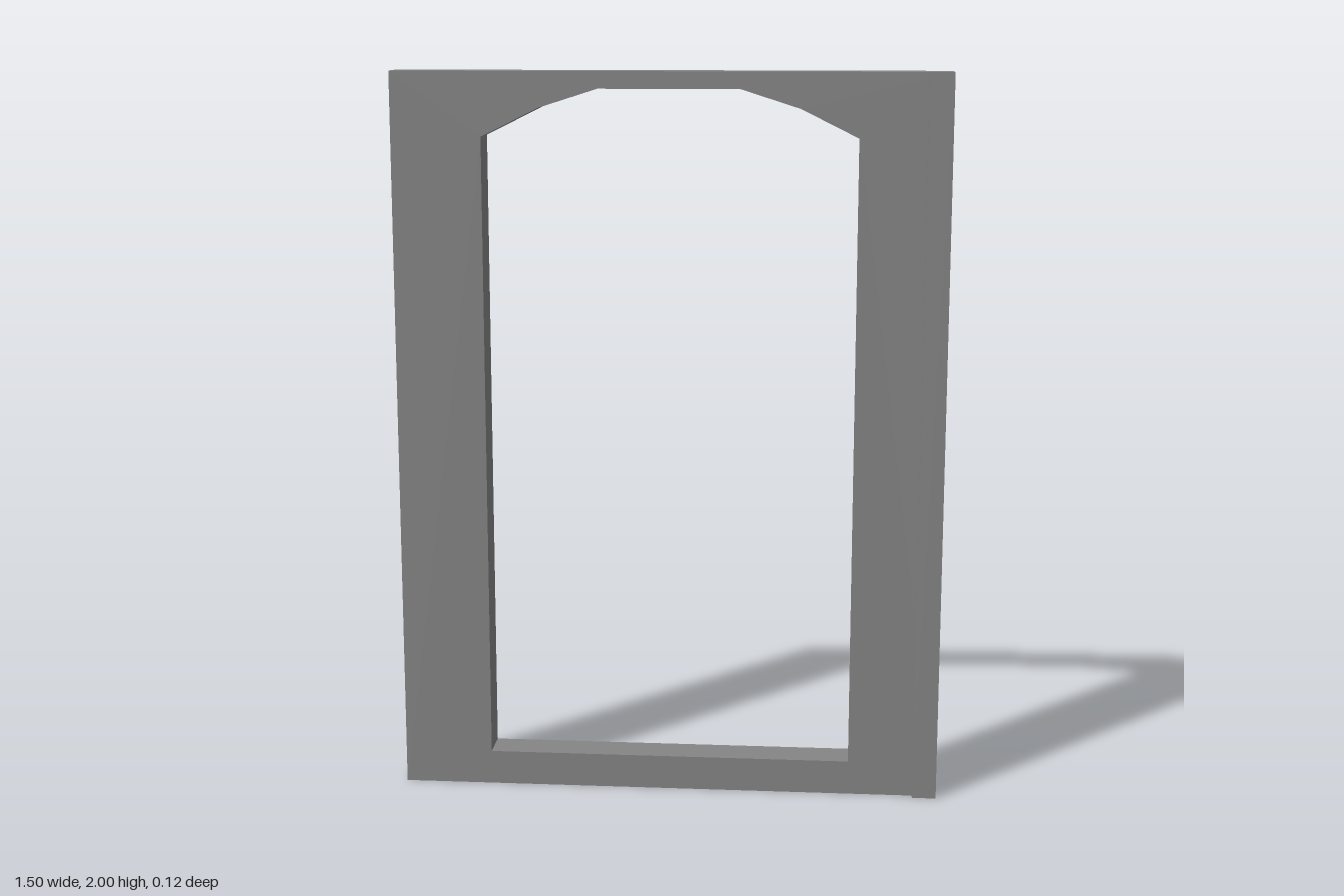
import * as THREE from 'three';

const W = 0.75, H = 2, BACK = -0.06, FACE = 0.043, FRONT = 0.06;
const STRIP_X = 0.684;

export function createModel() {
  const group = new THREE.Group();
  group.name = 'archedFrame';
  const material = new THREE.MeshStandardMaterial({ color: 0x858585, flatShading: true });

  // Rectangular slab with a faceted arched opening
  const outline = new THREE.Shape([[-W, 0], [W, 0], [W, H], [-W, H]].map(p => new THREE.Vector2(...p)));
  const half = [[0.505, 0.095], [0.505, 1.826], [0.35, 1.903], [0.19, 1.954]];
  const opening = [...half, ...half.map(([x, y]) => [-x, y]).reverse()];
  outline.holes.push(new THREE.Path(opening.map(p => new THREE.Vector2(...p))));
  const frameGeometry = new THREE.ExtrudeGeometry(outline, { depth: FACE - BACK, bevelEnabled: false });
  frameGeometry.translate(0, 0, BACK);
  const frame = new THREE.Mesh(frameGeometry, material);
  frame.name = 'frame';
  group.add(frame);

  // Raised stop strip along the left front edge
  const strip = new THREE.Mesh(new THREE.BoxGeometry(W - STRIP_X, H, FRONT - FACE), material);
  strip.position.set((W + STRIP_X) / 2, H / 2, (FACE + FRONT) / 2);
  strip.name = 'edgeStrip';
  group.add(strip);

  return group;
}
